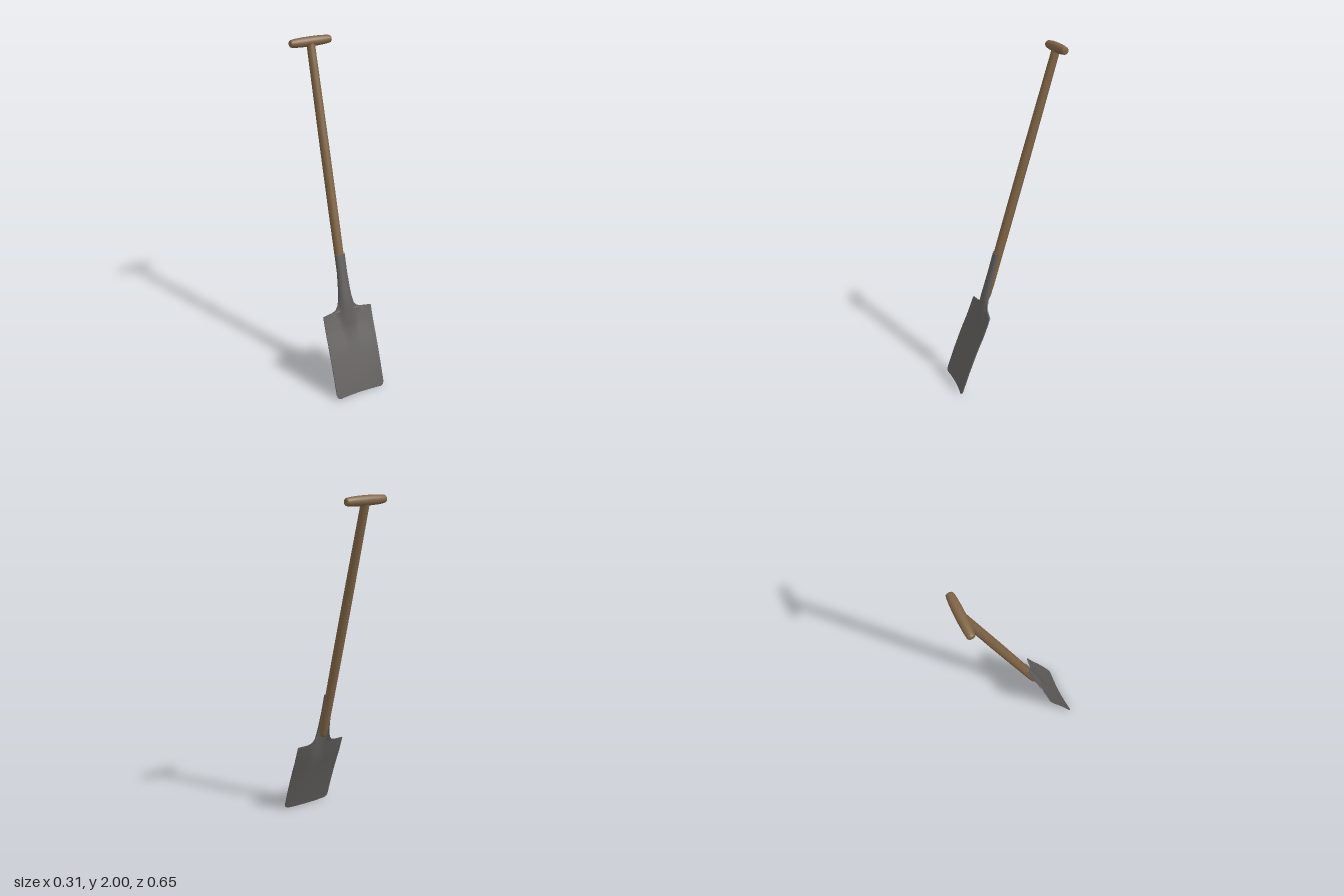
import * as THREE from 'three';
import { mergeGeometries } from 'three/addons/utils/BufferGeometryUtils.js';

const wood = new THREE.MeshStandardMaterial({ color: 0x806546 });
wood.name = 'wood';
const steel = new THREE.MeshStandardMaterial({ color: 0x625e5e });
steel.name = 'darkSteel';

// Cross-sections from socket rim to cutting edge:
// [y, half width, centre z, groove depth, groove half width, groove roundness]
const sections = [
  [0.81, 0.029, 0.070, 0.016, 0.029, 0.5],
  [0.70, 0.031, 0.101, 0.020, 0.031, 0.5],
  [0.60, 0.037, 0.130, 0.025, 0.037, 0.5],
  [0.55, 0.043, 0.145, 0.026, 0.043, 0.6],
  [0.51, 0.053, 0.154, 0.026, 0.050, 0.8],
  [0.49, 0.068, 0.158, 0.025, 0.054, 1.0],
  [0.48, 0.092, 0.160, 0.024, 0.057, 1.1],
  [0.475, 0.157, 0.161, 0.023, 0.058, 1.2],
  [0.44, 0.157, 0.169, 0.019, 0.060, 1.4],
  [0.40, 0.157, 0.177, 0.012, 0.060, 1.5],
  [0.36, 0.157, 0.186, 0.006, 0.058, 1.5],
  [0.30, 0.157, 0.207, 0.001, 0.055, 1.5],
  [0.23, 0.157, 0.234, 0, 0.05, 1.5],
  [0.12, 0.157, 0.275, 0, 0.05, 1.5],
  [0.03, 0.157, 0.306, 0, 0.05, 1.5],
  [0.012, 0.152, 0.312, 0, 0.05, 1.5],
  [0.003, 0.138, 0.315, 0, 0.05, 1.5],
];
const COLS = 32;
const THICKNESS = 0.007;

function sheetGeometry(positions, index) {
  const g = new THREE.BufferGeometry();
  g.setAttribute('position', new THREE.Float32BufferAttribute(positions, 3));
  g.setIndex(index);
  g.computeVertexNormals();
  return g;
}

// Pressed sheet: front face, back face and the thin rim joining them
function bladeGeometry() {
  const point = (i, j, back) => {
    const [y, w, zc, depth, r, p] = sections[i];
    const x = w * Math.sin((j / COLS - 0.5) * Math.PI);
    const ridge = Math.pow(Math.max(0, 1 - (x / r) ** 2), p);
    const curl = 0.011 * (x / 0.157) ** 2;
    return [x, y, zc - depth + depth * ridge + curl - (back ? THICKNESS : 0)];
  };
  const last = sections.length - 1;
  const face = (back) => {
    const pos = [], idx = [];
    for (let i = 0; i <= last; i++) {
      for (let j = 0; j <= COLS; j++) {
        pos.push(...point(i, j, back));
        if (i === last || j === COLS) continue;
        const a = i * (COLS + 1) + j, b = a + COLS + 1;
        if (back) idx.push(a, b + 1, b, a, a + 1, b + 1);
        else idx.push(a, b, b + 1, a, b + 1, a + 1);
      }
    }
    return sheetGeometry(pos, idx);
  };
  const loop = [];
  for (let i = 0; i < last; i++) loop.push([i, 0]);
  for (let j = 0; j < COLS; j++) loop.push([last, j]);
  for (let i = last; i > 0; i--) loop.push([i, COLS]);
  for (let j = COLS; j > 0; j--) loop.push([0, j]);
  const pos = [], idx = [];
  loop.forEach(([i, j], k) => {
    pos.push(...point(i, j, false), ...point(i, j, true));
    const f = 2 * k, n = 2 * ((k + 1) % loop.length);
    idx.push(f, f + 1, n + 1, f, n + 1, n);
  });
  return mergeGeometries([face(false), face(true), sheetGeometry(pos, idx)]);
}

// Turned wooden piece from [radius, height] pairs, bottom to top
function turned(name, profile) {
  const points = profile.map(([r, y]) => new THREE.Vector2(r, y));
  const mesh = new THREE.Mesh(new THREE.LatheGeometry(points, 24), wood);
  mesh.name = name;
  return mesh;
}

export function createModel() {
  const group = new THREE.Group();
  group.name = 'spade';

  const blade = new THREE.Mesh(bladeGeometry(), steel);
  blade.name = 'bladeAndSocket';
  group.add(blade);

  // Leaning shaft, its lower end resting in the open socket
  const foot = new THREE.Vector3(0, 0.53, 0.12);
  const head = new THREE.Vector3(0, 1.973, -0.297);
  const axis = head.clone().sub(foot);
  const length = axis.length();
  const shaft = turned('shaft', [
    [0, 0], [0.017, 0.001], [0.022, 0.008], [0.025, 0.03], [0.0265, 0.1],
    [0.0275, 0.5], [0.027, 0.9], [0.025, 1.25], [0.0235, length],
  ]);
  shaft.position.copy(foot);
  shaft.quaternion.setFromUnitVectors(new THREE.Vector3(0, 1, 0), axis.normalize());
  group.add(shaft);

  // Barrel-shaped cross grip
  const half = [[0.0275, 0], [0.027, 0.045], [0.025, 0.085], [0.0215, 0.115], [0.019, 0.122], [0.015, 0.125], [0, 0.125]];
  const lower = half.slice(1).reverse().map(([r, y]) => [r, -y]);
  const grip = turned('crossGrip', [...lower, ...half]);
  grip.rotation.z = Math.PI / 2;
  grip.position.copy(head);
  group.add(grip);

  return group;
}
